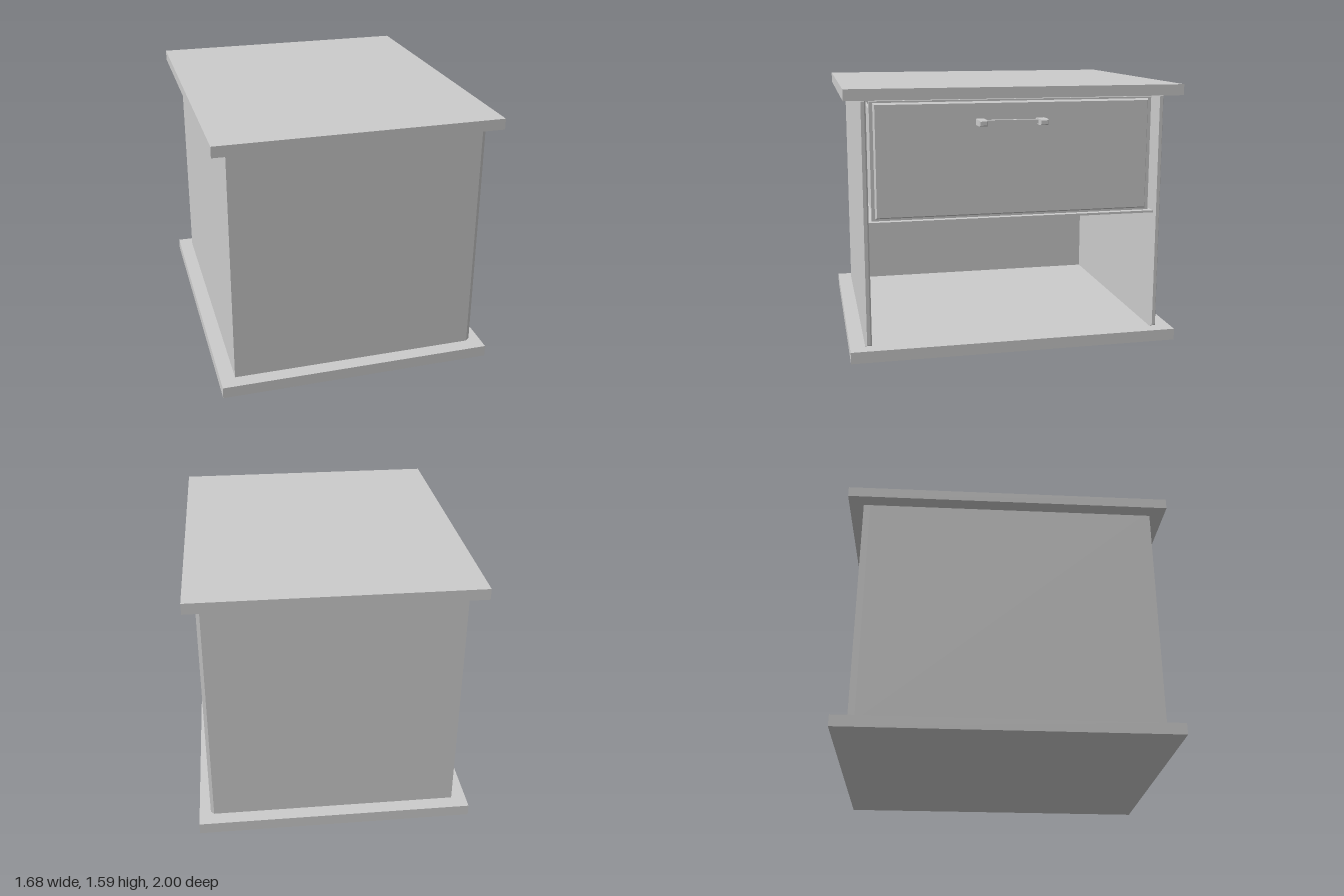
import * as THREE from 'three';

const material = new THREE.MeshStandardMaterial({ color: 0xcccccc, flatShading: true });

// Box given by its limits; the +x face can be inset to make a chamfer
function block(name, [x0, x1], [y0, y1], [z0, z1], inset = 0) {
  const geo = new THREE.BoxGeometry(x1 - x0, y1 - y0, z1 - z0);
  const p = geo.attributes.position;
  for (let i = 0; i < p.count; i++) {
    if (p.getX(i) > 0) {
      p.setY(i, p.getY(i) - Math.sign(p.getY(i)) * inset);
      p.setZ(i, p.getZ(i) - Math.sign(p.getZ(i)) * inset);
    }
  }
  geo.computeVertexNormals();
  const mesh = new THREE.Mesh(geo, material);
  mesh.name = name;
  mesh.position.set((x0 + x1) / 2, (y0 + y1) / 2, (z0 + z1) / 2);
  return mesh;
}

export function createModel() {
  const cabinet = new THREE.Group();
  cabinet.name = 'bedsideCabinet';

  // Overhanging slabs
  cabinet.add(block('basePlate', [-0.84, 0.84], [0, 0.07], [-1, 1]));
  cabinet.add(block('topPlate', [-0.84, 0.84], [1.525, 1.59], [-1, 1]));

  // Side panels with chamfered front edge strips
  for (const s of [1, -1]) {
    const z = s > 0 ? [0.87, 0.91] : [-0.91, -0.87];
    const side = new THREE.Group();
    side.name = s > 0 ? 'leftSide' : 'rightSide';
    side.add(block('sidePanel', [-0.75, 0.75], [0.07, 1.525], z));
    side.add(block('edgeStrip', [0.75, 0.77], [0.07, 1.525], z, 0.01));
    cabinet.add(side);
  }

  // Closed wall opposite the drawer, and the shelf under the drawer
  cabinet.add(block('rearPanel', [-0.75, -0.71], [0.07, 1.525], [-0.87, 0.87]));
  cabinet.add(block('shelf', [-0.71, 0.745], [0.80, 0.813], [-0.87, 0.87]));

  // Drawer: open tray, front board and raised bevelled face
  const drawer = new THREE.Group();
  drawer.name = 'drawer';
  drawer.add(block('drawerFront', [0.67, 0.705], [0.813, 1.51], [-0.85, 0.85]));
  drawer.add(block('drawerFace', [0.705, 0.725], [0.825, 1.5], [-0.83, 0.83], 0.01));
  drawer.add(block('drawerBottom', [-0.65, 0.67], [0.82, 0.84], [-0.83, 0.83]));
  drawer.add(block('drawerBack', [-0.67, -0.65], [0.82, 1.44], [-0.83, 0.83]));
  for (const z of [[0.81, 0.83], [-0.83, -0.81]]) {
    drawer.add(block('drawerSide', [-0.65, 0.67], [0.84, 1.44], z));
  }

  // Handle: two posts joined by a slimmer bar
  const handle = new THREE.Group();
  handle.name = 'handle';
  for (const z of [[0.18, 0.235], [-0.175, -0.12]].map((r, i) => (i ? [-0.175, -0.125] : [0.185, 0.235]))) {
    handle.add(block('handlePost', [0.725, 0.825], [1.365, 1.4], z));
    handle.add(block('handlePostTip', [0.825, 0.833], [1.365, 1.4], z, 0.006));
  }
  handle.add(block('handleBar', [0.75, 0.78], [1.37, 1.395], [-0.125, 0.185]));
  drawer.add(handle);
  cabinet.add(drawer);

  return cabinet;
}
